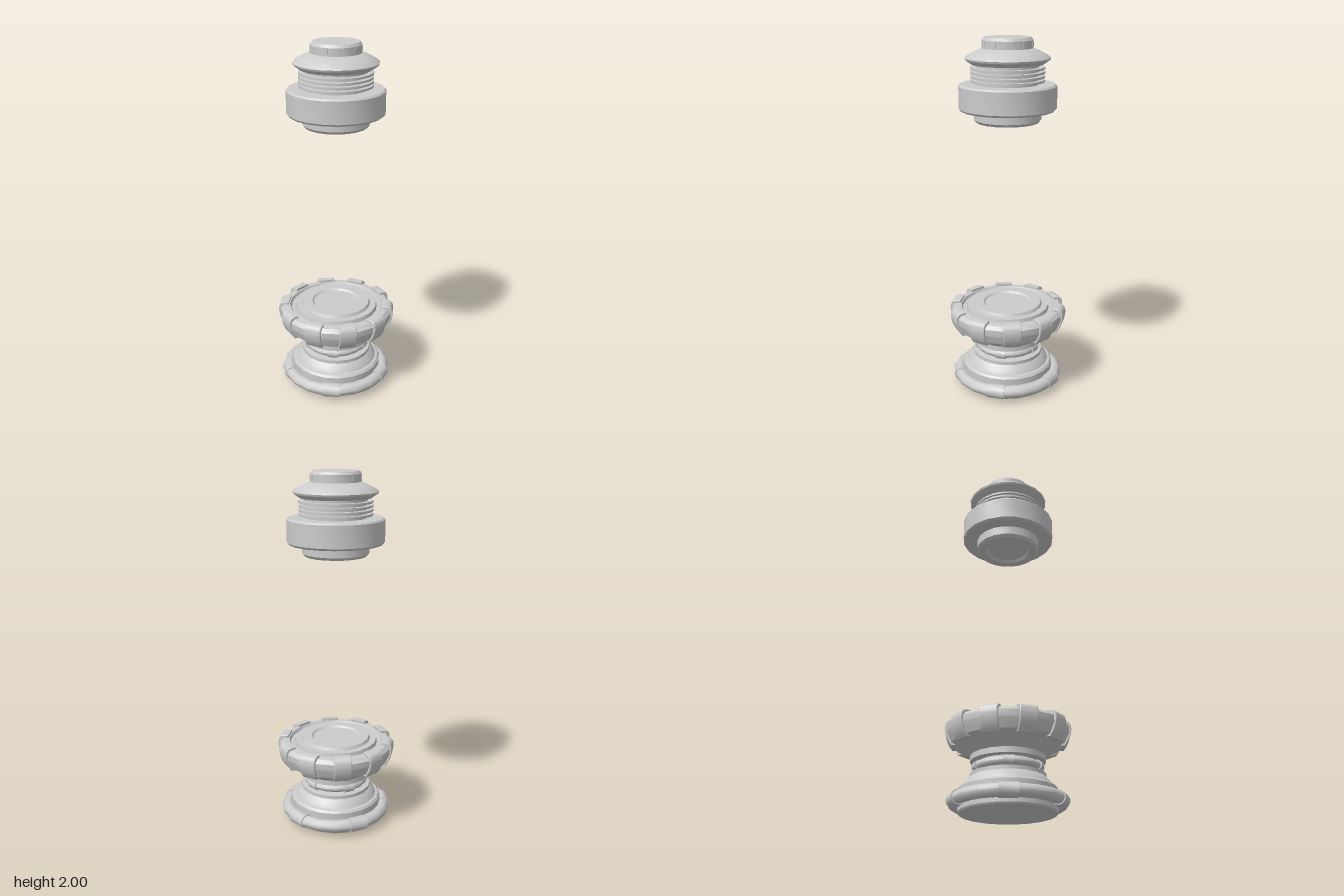
import * as THREE from 'three';
import { toCreasedNormals } from 'three/addons/utils/BufferGeometryUtils.js';

const SIDES = 20;
const material = new THREE.MeshStandardMaterial({ color: 0xcccccc });

function addMesh(parent, name, geometry, crease = 0.5) {
  const mesh = new THREE.Mesh(toCreasedNormals(geometry, crease), material);
  mesh.name = name;
  parent.add(mesh);
  return mesh;
}

// Turned body from [radius, height] pairs, listed bottom to top
function turned(parent, name, profile) {
  const points = profile.map(([r, y]) => new THREE.Vector2(r, y));
  return addMesh(parent, name, new THREE.LatheGeometry(points, SIDES));
}

// Copies of a part round the axis; the part is built pointing along +x
function around(parent, name, count, startDegrees, geometry) {
  const group = new THREE.Group();
  group.name = name + 's';
  for (let i = 0; i < count; i++) {
    const mesh = addMesh(group, name, geometry);
    mesh.rotation.y = -THREE.MathUtils.degToRad(startDegrees + i * 360 / count);
  }
  parent.add(group);
}

// Horizontal pipe ring with five thicker sleeves
function pipeRing(parent, name, radius, tube, y, sleeveRadius, sleeveLength) {
  const ring = new THREE.TorusGeometry(radius, tube, 12, SIDES).rotateX(Math.PI / 2);
  addMesh(parent, name, ring.translate(0, y, 0), 0.6);
  const sleeve = new THREE.CylinderGeometry(sleeveRadius, sleeveRadius, sleeveLength, 14);
  sleeve.rotateX(Math.PI / 2).translate(radius * Math.cos(Math.PI / SIDES), y, 0);
  around(parent, name + 'Sleeve', 5, -9, sleeve);
}

function createLowerHub() {
  const hub = new THREE.Group();
  hub.name = 'lowerHub';

  turned(hub, 'base', [
    [0, 0], [0.255, 0], [0.26, 0.008], [0.26, 0.125], [0.25, 0.137],
    [0.235, 0.14], [0.225, 0.16], [0.205, 0.18], [0.2, 0.185], [0.2, 0.205],
    [0.155, 0.21], [0.155, 0.27], [0, 0.27],
  ]);
  pipeRing(hub, 'basePipe', 0.28, 0.035, 0.06, 0.04, 0.1);
  pipeRing(hub, 'neckPipe', 0.165, 0.022, 0.238, 0.028, 0.055);

  // Flared bowl with stepped rings and a sunken centre on top
  turned(hub, 'bowl', [
    [0, 0.27], [0.2, 0.27], [0.2, 0.3], [0.215, 0.31], [0.265, 0.345],
    [0.3, 0.365], [0.325, 0.42], [0.325, 0.455], [0.305, 0.475], [0.27, 0.478],
    [0.262, 0.462], [0.24, 0.462], [0.235, 0.484], [0.2, 0.484],
    [0.192, 0.5], [0.14, 0.5], [0.13, 0.49], [0, 0.49],
  ]);

  // Curved clamps hugging the rim of the bowl
  const shape = new THREE.Shape();
  shape.moveTo(0.275, 0.35);
  shape.lineTo(0.295, 0.35);
  shape.quadraticCurveTo(0.328, 0.39, 0.331, 0.44);
  shape.quadraticCurveTo(0.332, 0.472, 0.315, 0.483);
  shape.quadraticCurveTo(0.3, 0.49, 0.276, 0.488);
  shape.closePath();
  const clamp = new THREE.ExtrudeGeometry(shape, {
    depth: 0.089, bevelThickness: 0.004, bevelSize: 0.003,
    bevelSegments: 1, curveSegments: 6,
  }).translate(0, 0, -0.0445);
  around(hub, 'rimClamp', 10, 9, clamp);
  return hub;
}

function createUpperHub() {
  const hub = new THREE.Group();
  hub.name = 'upperHub';

  // Drum with a smaller collar and a sunken disc below
  turned(hub, 'drum', [
    [0, 1.565], [0.115, 1.565], [0.125, 1.55], [0.17, 1.55], [0.183, 1.565],
    [0.183, 1.615], [0.255, 1.615], [0.266, 1.626], [0.266, 1.746],
    [0.257, 1.755], [0, 1.755],
  ]);
  turned(hub, 'finnedNeck', [[0.17, 1.75], [0.17, 1.87]]);
  for (let i = 0; i < 4; i++) {
    const fin = new THREE.CylinderGeometry(0.2, 0.2, 0.012, SIDES);
    addMesh(hub, 'coolingFin', fin.translate(0, 1.773 + i * 0.022, 0));
  }

  // Flared skirt and cap
  turned(hub, 'flare', [
    [0, 1.86], [0.195, 1.86], [0.226, 1.882], [0.23, 1.892],
    [0.222, 1.902], [0.18, 1.925], [0.137, 1.943], [0, 1.943],
  ]);
  turned(hub, 'cap', [
    [0, 1.935], [0.137, 1.935], [0.137, 1.985], [0.126, 2], [0, 2],
  ]);
  const stud = new THREE.BoxGeometry(0.012, 0.024, 0.024).translate(0.132, 1.966, 0);
  around(hub, 'capStud', 10, 9, stud);
  return hub;
}

export function createModel() {
  const model = new THREE.Group();
  model.name = 'hubPair';
  model.add(createLowerHub(), createUpperHub());
  return model;
}
